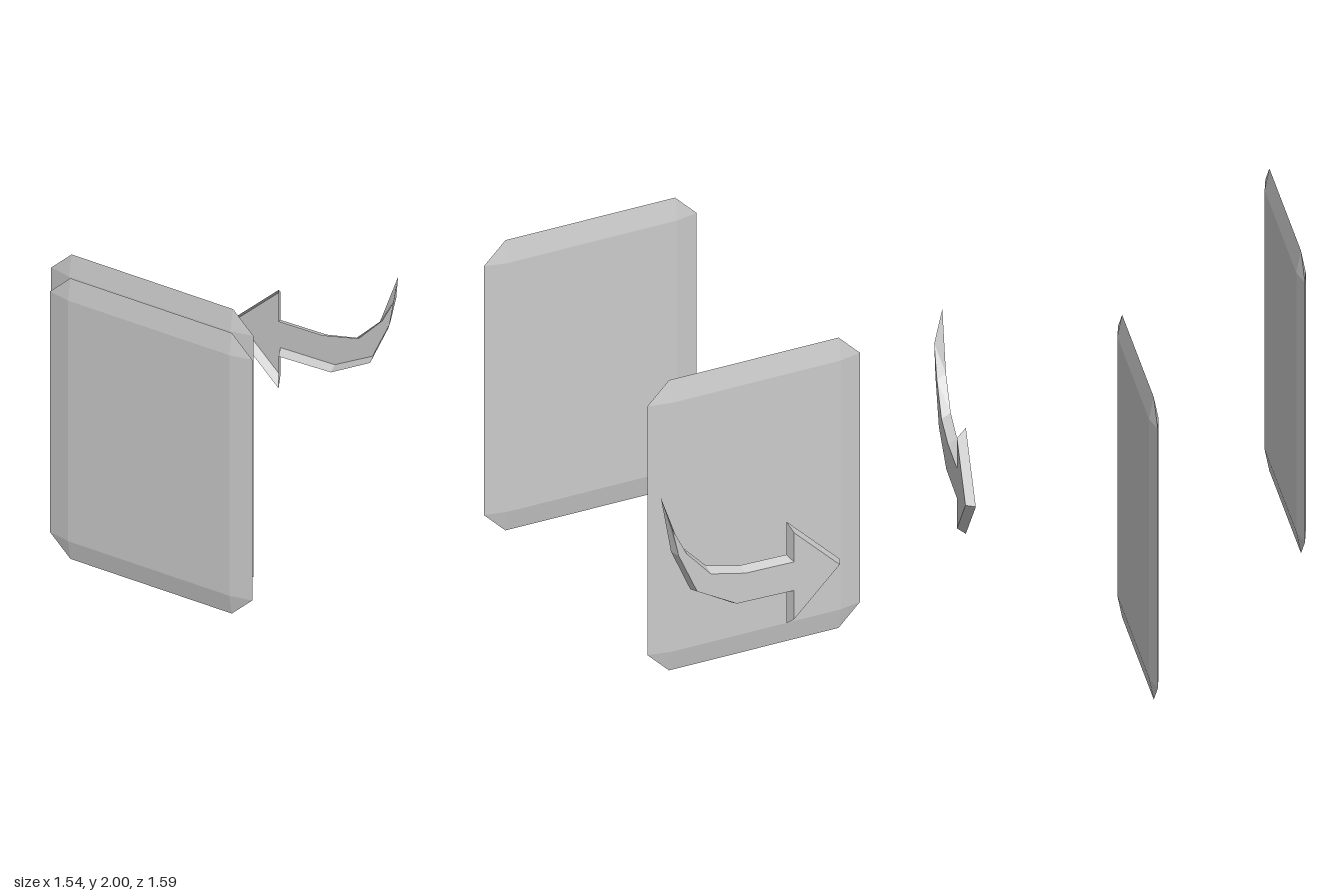
import * as THREE from 'three';

const material = new THREE.MeshStandardMaterial({ color: 0xcccccc, flatShading: true, side: THREE.DoubleSide });

// Flat-shaded mesh from a list of triangles, each three [x, y, z] corners
function meshFrom(triangles, name) {
  const geometry = new THREE.BufferGeometry();
  geometry.setAttribute('position', new THREE.Float32BufferAttribute(triangles.flat(2), 3));
  geometry.computeVertexNormals();
  const mesh = new THREE.Mesh(geometry, material);
  mesh.name = name;
  return mesh;
}

// Thin slab: flat rectangular faces sloping to a sharp octagonal rim
function createPanel(name, x, y, z) {
  const w = 0.542, h = 0.77, cut = 0.11, t = 0.022;
  const iw = w - cut, ih = h - cut;
  // Counter-clockwise seen from the front; rim points come in pairs per corner
  const face = [[iw, ih], [-iw, ih], [-iw, -ih], [iw, -ih]];
  const rim = [[w, ih], [iw, h], [-iw, h], [-w, ih], [-w, -ih], [-iw, -h], [iw, -h], [w, -ih]]
    .map(([a, b]) => [a, b, 0]);
  const triangles = [];
  for (const side of [1, -1]) {
    const c = face.map(([a, b]) => [a, b, side * t]);
    const add = (p, q, r) => triangles.push(side > 0 ? [p, q, r] : [p, r, q]);
    add(c[0], c[1], c[2]);
    add(c[0], c[2], c[3]);
    for (let i = 0; i < 4; i++) {
      const a = rim[2 * i], b = rim[2 * i + 1], next = rim[(2 * i + 2) % 8], d = c[(i + 1) % 4];
      add(c[i], a, b);       // corner
      add(c[i], b, next);    // edge slope
      add(c[i], next, d);
    }
  }
  const panel = meshFrom(triangles, name);
  panel.position.set(x, y, z);
  return panel;
}

// Curved arrow: an open-fronted shell with flared walls
function createArrow() {
  const zFront = -0.75, zBack = -0.794;
  // Outlines run clockwise seen from the front, from the tail tip along the lower curve
  const front = [
    [0.62, 1.43], [0.568, 1.13], [0.47, 0.905], [0.26, 0.78], [-0.02, 0.77], [-0.02, 0.595],
    [-0.293, 0.865], [-0.02, 1.135], [-0.02, 0.96], [0.216, 0.965], [0.391, 1.01], [0.523, 1.15],
  ];
  const back = [
    [0.583, 1.275], [0.55, 1.125], [0.456, 0.912], [0.254, 0.795], [-0.037, 0.788], [-0.037, 0.635],
    [-0.27, 0.865], [-0.037, 1.095], [-0.037, 0.94], [0.21, 0.945], [0.386, 0.987], [0.509, 1.125],
  ];
  const f = front.map(([x, y]) => [x, y, zFront]);
  const b = back.map(([x, y]) => [x, y, zBack]);
  const triangles = [];
  // Walls
  for (let i = 0; i < f.length; i++) {
    const j = (i + 1) % f.length;
    triangles.push([f[i], b[i], b[j]], [f[i], b[j], f[j]]);
  }
  // Back face, turned to face -z
  const contour = back.map(([x, y]) => new THREE.Vector2(x, y));
  for (const [p, q, r] of THREE.ShapeUtils.triangulateShape(contour, [])) {
    const turn = (back[q][0] - back[p][0]) * (back[r][1] - back[p][1])
      - (back[q][1] - back[p][1]) * (back[r][0] - back[p][0]);
    triangles.push(turn < 0 ? [b[p], b[q], b[r]] : [b[p], b[r], b[q]]);
  }
  return meshFrom(triangles, 'curvedArrow');
}

export function createModel() {
  const model = new THREE.Group();
  model.name = 'panelsWithArrow';
  model.add(
    createPanel('frontPanel', 0.228, 1.23, 0.772),
    createPanel('middlePanel', -0.23, 0.77, 0.012),
    createArrow(),
  );
  return model;
}
